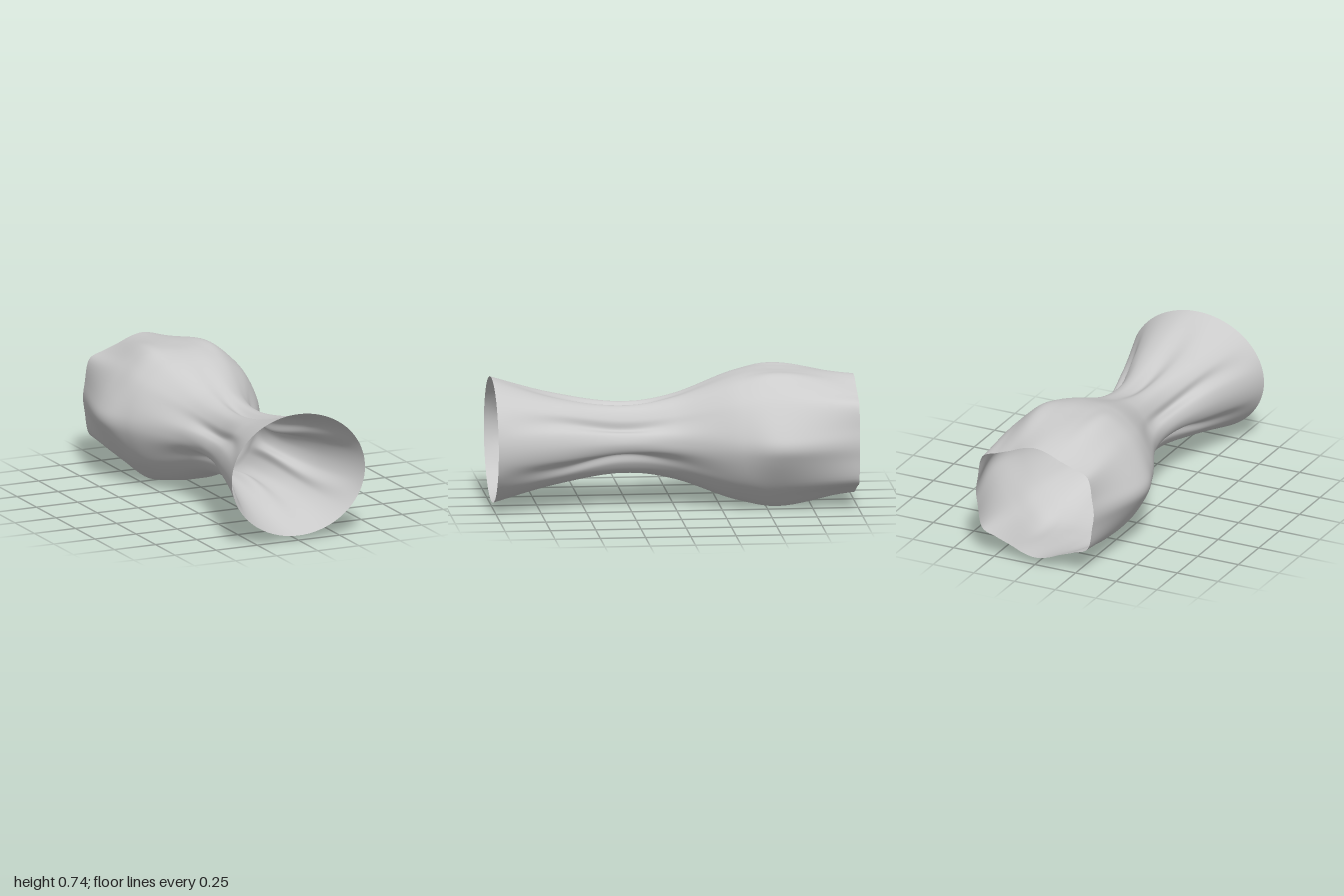
import * as THREE from 'three';
import { mergeVertices } from 'three/addons/utils/BufferGeometryUtils.js';

const CENTRE_Y = 0.372;

// Elliptical mouth, as a quarter of a section
const mouth = [0, 13, 27, 43, 59, 75, 90].map((deg) => {
  const a = THREE.MathUtils.degToRad(deg);
  return [0.405 * Math.cos(a), 0.345 * Math.sin(a)];
});

// Quarter sections from front to back: side lobe, notch, upper lobe, top notch
const sections = [
  { z: 1, quarter: mouth },
  { z: 0.65, quarter: [[0.303, 0], [0.285, 0.075], [0.235, 0.122], [0.215, 0.175], [0.16, 0.22], [0.085, 0.238], [0, 0.228]] },
  { z: 0.3, quarter: [[0.228, 0], [0.207, 0.054], [0.155, 0.065], [0.148, 0.118], [0.108, 0.173], [0.055, 0.188], [0, 0.163]] },
  { z: 0, quarter: [[0.245, 0], [0.235, 0.05], [0.195, 0.1], [0.17, 0.148], [0.125, 0.198], [0.065, 0.226], [0, 0.222]] },
  { z: -0.35, quarter: [[0.4, 0], [0.383, 0.08], [0.335, 0.18], [0.28, 0.25], [0.19, 0.32], [0.1, 0.345], [0, 0.349]] },
  { z: -0.6, quarter: [[0.463, 0], [0.432, 0.085], [0.348, 0.22], [0.275, 0.295], [0.185, 0.364], [0.09, 0.367], [0, 0.365]] },
  { z: -1, quarter: [[0.362, 0], [0.352, 0.08], [0.325, 0.212], [0.235, 0.253], [0.15, 0.284], [0.075, 0.315], [0, 0.329]] },
];

// Mirrors a quarter into a full closed ring of 24 points
function fullRing({ z, quarter }) {
  const half = [...quarter, ...quarter.slice(0, -1).reverse().map(([x, y]) => [-x, y])];
  const lower = half.slice(1, -1).reverse().map(([x, y]) => [x, -y]);
  return [...half, ...lower].map(([x, y]) => new THREE.Vector3(x, y + CENTRE_Y, z));
}

// Smooth skin lofted through the sections, open at both ends
function loft(rings, around, along) {
  const smoothRings = rings.map((ring) => {
    const curve = new THREE.CatmullRomCurve3(ring, true, 'catmullrom', 0.5);
    return Array.from({ length: around }, (_, i) => curve.getPoint(i / around));
  });
  const position = [];
  const index = [];
  for (let i = 0; i < around; i++) {
    const rail = new THREE.CatmullRomCurve3(smoothRings.map((r) => r[i]), false, 'catmullrom', 0.5);
    for (let j = 0; j <= along; j++) position.push(...rail.getPoint(j / along).toArray());
  }
  const row = along + 1;
  for (let i = 0; i < around; i++) {
    for (let j = 0; j < along; j++) {
      const a = i * row + j;
      const b = ((i + 1) % around) * row + j;
      index.push(a, a + 1, b, b, a + 1, b + 1);
    }
  }
  const geometry = new THREE.BufferGeometry();
  geometry.setAttribute('position', new THREE.Float32BufferAttribute(position, 3));
  geometry.setIndex(index);
  const merged = mergeVertices(geometry);
  merged.computeVertexNormals();
  return merged;
}

export function createModel() {
  const group = new THREE.Group();
  group.name = 'flutedVase';
  const material = new THREE.MeshStandardMaterial({ color: 0xcccccc, side: THREE.DoubleSide });
  const shell = new THREE.Mesh(loft(sections.map(fullRing), 144, 96), material);
  shell.name = 'shell';
  group.add(shell);
  return group;
}
